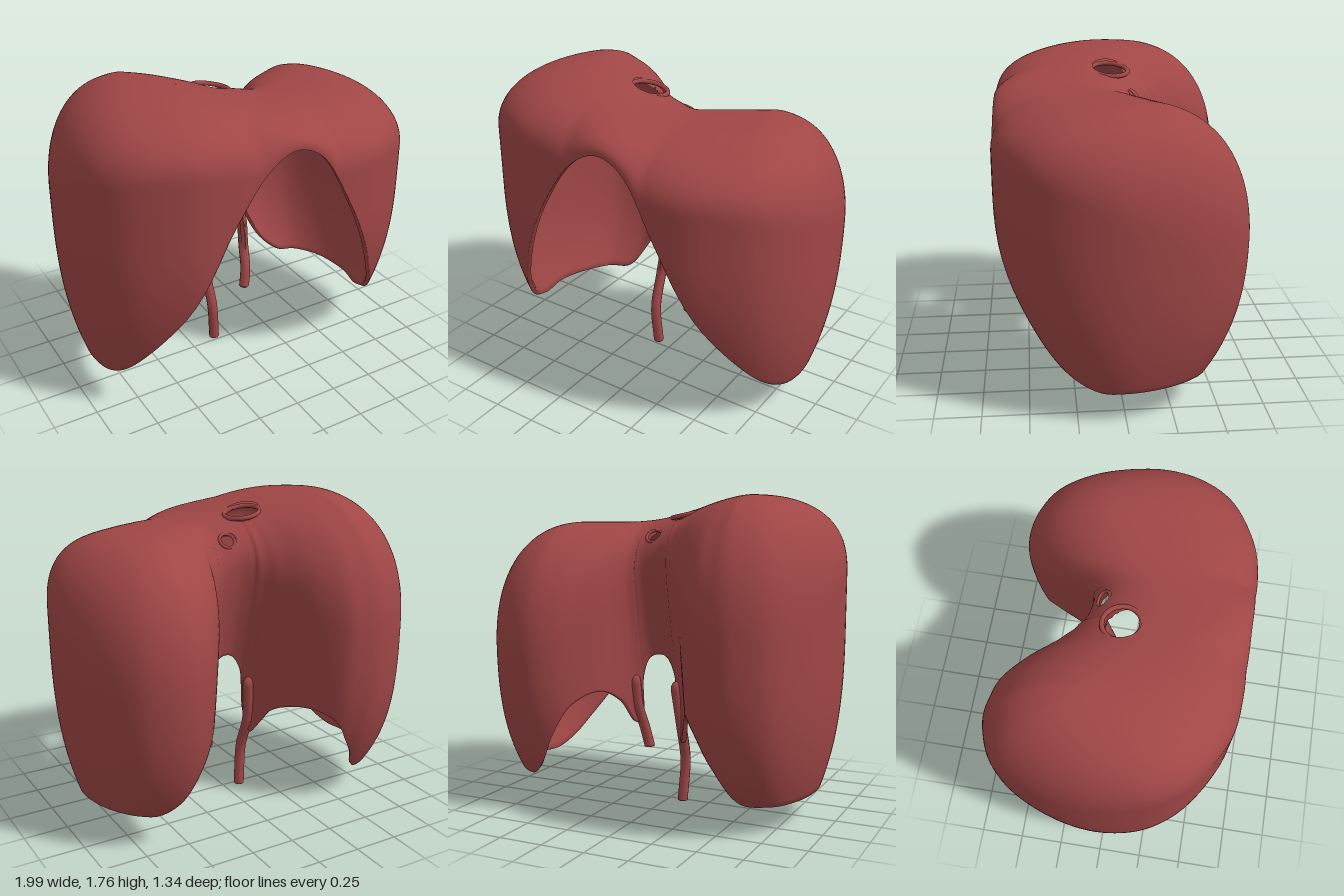
import * as THREE from 'three';

const NU = 264, NV = 64, THICK = 0.025;
const { smoothstep: smooth, clamp, lerp } = THREE.MathUtils;

// Kidney-shaped plan outline: x, z, height of the lower edge there
const RIM = [
  [0, 0.65, 1.52], [0.15, 0.655, 1.46], [0.35, 0.665, 1.13], [0.6, 0.61, 0.62], [0.84, 0.45, 0.28],
  [0.95, 0.25, 0.18], [0.99, 0, 0.18], [0.93, -0.35, 0.19], [0.8, -0.57, 0.19], [0.68, -0.645, 0.19],
  [0.56, -0.67, 0.27], [0.44, -0.64, 0.48], [0.36, -0.58, 0.62], [0.27, -0.46, 0.68], [0.21, -0.32, 0.6],
  [0.165, -0.24, 0.46], [0.14, -0.22, 0.5], [0.125, -0.21, 0.74], [0.08, -0.195, 0.85], [0, -0.195, 0.86],
  [-0.06, -0.22, 0.78], [-0.09, -0.25, 0.5], [-0.125, -0.28, 0.37], [-0.155, -0.32, 0.43], [-0.2, -0.38, 0.54],
  [-0.3, -0.53, 0.6], [-0.4, -0.63, 0.55], [-0.5, -0.665, 0.38], [-0.64, -0.67, 0.18], [-0.81, -0.59, 0.16],
  [-0.94, -0.36, 0.16], [-1, -0.05, 0.17], [-0.96, 0.25, 0.18], [-0.86, 0.43, 0.27], [-0.6, 0.61, 0.66],
  [-0.35, 0.655, 1.18], [-0.15, 0.655, 1.45],
];
const rim = new THREE.CatmullRomCurve3(RIM.map(([x, z, y]) => new THREE.Vector3(x, y, z)), true);

// Crown height: higher dome on the right, lower on the left
const crown = (x) => 1.615 + 0.15 * (1 - smooth(x, -0.55, 0.3));

// Sheet point: v = 0 on the crown line, 0.5 at the shoulder, 1 at the lower edge
function sheetPoint(p, v) {
  const cx = clamp(p.x * 0.9, -0.5, 0.5), cz = 0.2 - cx * cx;
  const dx = p.x - cx, dz = p.z - cz;
  const dir = dz / Math.hypot(dx, dz);
  const notch = p.z < 0 ? Math.exp(-((p.x / 0.26) ** 2)) : 0;
  // shoulder depth: tight in front, long at the back
  let H = 0.55 - (dir > 0 ? 0.25 : 0.2) * dir;
  H = Math.min(lerp(H, 0.28, notch), crown(p.x) - p.y - 0.01);
  let s = 1, y;
  if (v <= 0.5) {
    const a = v * Math.PI;
    s = Math.sin(a) ** 0.85;
    y = crown(cx + dx * s) - H * (1 - Math.max(0, Math.cos(a)) ** 0.85);
  } else {
    y = lerp(crown(p.x) - H, p.y, (v - 0.5) * 2);
  }
  // walls curl inward near the bottom, the notch leans forward
  const low = Math.max(0, (1.05 - y) / 0.88);
  const lean = 0.42 * smooth(1.5 - y, 0, 1);
  const curlX = 0.2 * low ** 3, curlZ = 0.34 * low ** (dir > 0 ? 2 : 3);
  return new THREE.Vector3(
    cx + dx * s * (1 - lerp(curlX, lean, notch)), y, cz + dz * s * (1 - lerp(curlZ, lean, notch)));
}

function makeSheet(openings) {
  const pts = [];
  for (let i = 0; i < NU; i++) {
    const p = rim.getPoint(i / NU);
    for (let j = 0; j <= NV; j++) pts.push(sheetPoint(p, j / NV));
  }
  // open the passages by pushing nearby points out to a circle
  const inside = new Uint8Array(pts.length);
  for (const o of openings) {
    let best = Infinity;
    pts.forEach((q, k) => {
      const d = Math.hypot(q.x - o.x, q.z - o.z);
      if (k % (NV + 1) <= NV / 2 && d < best) { best = d; o.center = q.clone(); }
    });
    pts.forEach((q, k) => {
      const d = q.distanceTo(o.center);
      if (d >= o.r) return;
      inside[k] = 1;
      if (d > 1e-4) q.sub(o.center).multiplyScalar(o.r / d).add(o.center);
    });
  }
  const id = (i, j) => (i % NU) * (NV + 1) + j;
  const index = [];
  const tri = (a, b, c) => { if (!(inside[a] && inside[b] && inside[c])) index.push(a, b, c); };
  for (let i = 0; i < NU; i++) for (let j = 0; j < NV; j++) {
    const a = id(i, j), b = id(i, j + 1), c = id(i + 1, j + 1), d = id(i + 1, j);
    tri(a, b, c);
    tri(a, c, d);
  }
  const outer = new THREE.BufferGeometry().setFromPoints(pts);
  outer.setIndex(index);
  outer.computeVertexNormals();

  // inner skin, offset along the normals and joined along the lower edge
  const n = outer.attributes.normal, N = pts.length;
  const inner = pts.map((q, k) => new THREE.Vector3().fromBufferAttribute(n, k).multiplyScalar(-THICK).add(q));
  const full = index.slice();
  for (let k = 0; k < index.length; k += 3) full.push(index[k] + N, index[k + 2] + N, index[k + 1] + N);
  for (let i = 0; i < NU; i++) {
    const a = id(i, NV), b = id(i + 1, NV);
    full.push(a, a + N, b + N, a, b + N, b);
  }
  const geo = new THREE.BufferGeometry().setFromPoints(pts.concat(inner));
  geo.setIndex(full);
  geo.computeVertexNormals();
  return geo;
}

export function createModel() {
  const group = new THREE.Group();
  const mat = new THREE.MeshStandardMaterial({ color: 0xa04646, side: THREE.DoubleSide });
  const add = (name, geo) => {
    const m = new THREE.Mesh(geo, mat);
    m.name = name;
    group.add(m);
    return m;
  };

  const openings = [
    { name: 'veinOpeningRim', x: -0.12, z: 0, r: 0.1, lip: 0.013, normal: [0.2, 1, -0.08] },
    { name: 'gulletOpeningRim', x: 0.035, z: -0.125, r: 0.045, lip: 0.009, normal: [0, 0.7, -0.7] },
  ];
  add('domedMuscleSheet', makeSheet(openings));

  // soft lips around the two passages
  for (const o of openings) {
    const lip = add(o.name, new THREE.TorusGeometry(o.r, o.lip, 10, 36));
    const normal = new THREE.Vector3(...o.normal).normalize();
    lip.quaternion.setFromUnitVectors(new THREE.Vector3(0, 0, 1), normal);
    lip.position.copy(o.center).addScaledVector(normal, -0.01);
  }

  // two tendon legs growing out of the notch wall
  const leg = (name, path) => {
    const curve = new THREE.CatmullRomCurve3(path.map((p) => new THREE.Vector3(...p)));
    add(name, new THREE.TubeGeometry(curve, 30, 0.03, 10));
    // rounded ends
    [0, 1].forEach((t) => {
      const end = add(name + (t ? 'Tip' : 'Root'), new THREE.SphereGeometry(0.03, 10, 8));
      end.scale.y = t ? 0.3 : 1.5;
      end.position.copy(curve.getPoint(t));
    });
  };
  leg('rightLeg', [[-0.095, 0.68, -0.125], [-0.115, 0.45, -0.09], [-0.11, 0.25, -0.025], [-0.095, 0.01, -0.03]]);
  leg('leftLeg', [[0.16, 0.7, -0.125], [0.155, 0.55, -0.1], [0.14, 0.42, -0.05], [0.12, 0.31, -0.03]]);

  return group;
}
